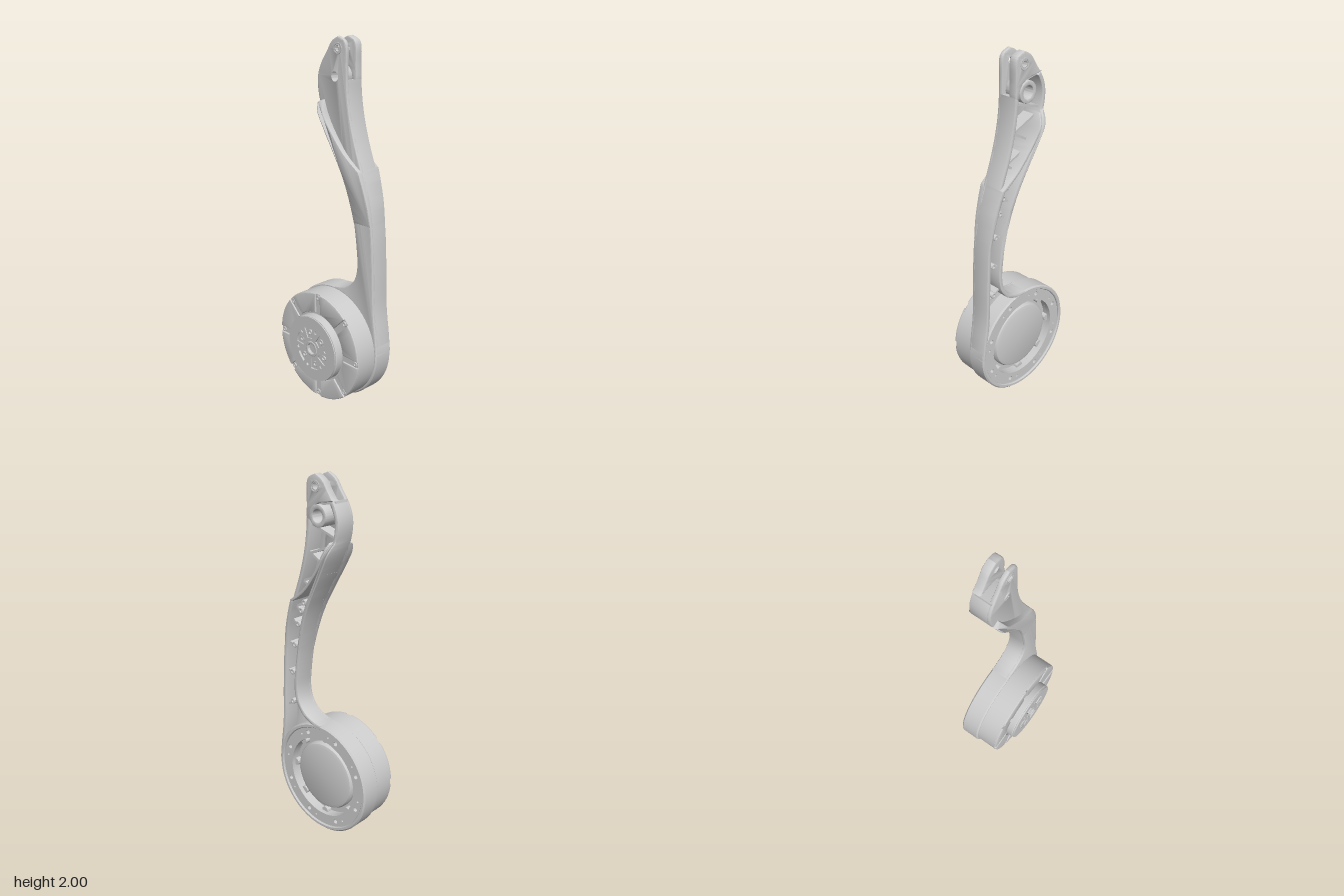
import * as THREE from 'three';
import { toCreasedNormals } from 'three/addons/utils/BufferGeometryUtils.js';

const V = (x, y) => new THREE.Vector2(x, y);
const HUB = 0.33; // height of the motor axis
const polar = (r, deg) => V(r * Math.cos(deg * Math.PI / 180), r * Math.sin(deg * Math.PI / 180));

export function createModel() {
  const model = new THREE.Group();
  const material = new THREE.MeshStandardMaterial({ color: 0xcccccc });

  const add = (name, geometry, y = 0) => {
    const mesh = new THREE.Mesh(toCreasedNormals(geometry, 0.55), material);
    mesh.name = name;
    mesh.position.y = y;
    model.add(mesh);
    return mesh;
  };
  // Extrusion from z0 to z1 with rounded edges; warp(y, z) may shift z
  const extrude = (shape, z0, z1, b = 0, warp = null) => {
    const g = new THREE.ExtrudeGeometry(shape, {
      depth: z1 - z0 - 2 * b, bevelEnabled: b > 0, bevelThickness: b, bevelSize: b,
      bevelOffset: -b, bevelSegments: 2, curveSegments: 32,
    });
    g.translate(0, 0, z0 + b);
    if (warp) {
      const p = g.attributes.position;
      for (let i = 0; i < p.count; i++) p.setZ(i, p.getZ(i) + warp(p.getY(i), p.getZ(i)));
    }
    return g;
  };
  const hole = (shape, x, y, r) => {
    shape.holes.push(new THREE.Path().absarc(x, y, r, 0, Math.PI * 2, true));
    return shape;
  };
  const disc = (x, y, r) => new THREE.Shape().absarc(x, y, r, 0, Math.PI * 2, false);
  const ring = (x, y, r, inner) => hole(disc(x, y, r), x, y, inner);
  const spline = (pts, n) => new THREE.SplineCurve(pts.map(p => V(p[0], p[1]))).getPoints(n);
  // Wall of thickness t on one side (side = 1 right, -1 left) of a path
  const wall = (pts, t, side) => {
    const inner = pts.map((p, i) => {
      const d = pts[Math.min(i + 1, pts.length - 1)].clone().sub(pts[Math.max(i - 1, 0)]).normalize();
      return V(p.x + d.y * t * side, p.y - d.x * t * side);
    });
    return new THREE.Shape([...pts, ...inner.reverse()]);
  };
  const sector = (r0, r1, a, half0, half1, n = 10) => {
    const pts = [];
    for (let i = 0; i <= n; i++) pts.push(polar(r1, a - half1 + 2 * half1 * i / n));
    for (let i = n; i >= 0; i--) pts.push(polar(r0, a - half0 + 2 * half0 * i / n));
    return pts;
  };

  // Arm outline: both edges run from the hub to the tip
  const left = spline([[0, 0.655], [0.05, 0.663], [0.11, 0.69], [0.155, 0.745], [0.172, 0.82], [0.165, 0.92],
    [0.145, 1.05], [0.11, 1.19], [0.07, 1.3], [0.02, 1.4], [-0.04, 1.51], [-0.09, 1.61], [-0.122, 1.7],
    [-0.13, 1.78], [-0.11, 1.85], [-0.06, 1.925], [-0.025, 1.975], [0.02, 2]], 110);
  const right = spline([[0.325, 0.34], [0.312, 0.45], [0.292, 0.6], [0.284, 0.8], [0.272, 1], [0.25, 1.15],
    [0.22, 1.26], [0.19, 1.345], [0.14, 1.48], [0.106, 1.6], [0.086, 1.72], [0.08, 1.85], [0.08, 1.94],
    [0.065, 1.98], [0.02, 2]], 100);
  const between = (pts, a, b) => pts.filter(p => p.y >= a && p.y <= b);
  const xAt = (pts, y) => {
    const i = Math.max(1, pts.findIndex(p => p.y >= y));
    const k = (y - pts[i - 1].y) / (pts[i].y - pts[i - 1].y);
    return pts[i - 1].x + k * (pts[i].x - pts[i - 1].x);
  };

  // Front plate of the arm with pin and pivot holes
  const plate = new THREE.Shape([...left, ...right.slice(0, -1).reverse(), V(0.26, 0.36), V(0.02, 0.58)]);
  hole(plate, 0.02, 1.94, 0.024);
  hole(plate, 0, 1.8, 0.033);
  add('armPlate', extrude(plate, -0.035, -0.01, 0.008));

  // Swelling of the arm below the diagonal step
  const lift = y => y < 1.05 ? 0 : y < 1.6 ? 0.04 * (y - 1.05) / 0.55 : 0.04 * Math.max(0, 1 - ((y - 1.6) / 0.085) ** 2);
  const diagonal = spline([[-0.075, 1.68], [-0.035, 1.585], [0.03, 1.49], [0.1, 1.41], [0.19, 1.342]], 24);
  const swell = new THREE.Shape([...between(left, 1.05, 1.67), ...diagonal, ...between(right, 1.05, 1.338).reverse()]);
  add('armSwelling', extrude(swell, -0.035, -0.01, 0.007, (y, z) => z > -0.022 ? lift(y) : 0));

  // Side walls, open towards the back
  const backLift = (y, z) => z < -0.1 ? -lift(y) : 0;
  add('leftEdgeWall', extrude(wall(between(left, 0, 1.88), 0.024, 1), -0.125, -0.014, 0.007, backLift));
  add('rightEdgeWallLower', extrude(wall(between(right, 0, 1.345), 0.024, -1), -0.125, -0.014, 0.007, backLift));
  add('rightEdgeWallUpper', extrude(wall(between(right, 1.3, 1.79), 0.024, -1), -0.125, -0.014, 0.007));
  add('diagonalWall', extrude(wall(diagonal, 0.016, 1), -0.125, -0.03, 0.005, backLift));

  // Stiffening ribs in the pocket, given as heights at the left and right wall
  const ribs = [[0.76, 0.7], [0.9, 0.92], [1.06, 1.09], [1.17, 1.23], [1.25, 1.31],
    [1.36, 1.3], [1.4, 1.46], [1.52, 1.45], [1.54, 1.62], [1.68, 1.6], [1.7, 1.76]];
  for (const [yl, yr] of ribs) {
    const a = V(xAt(left, yl) + 0.01, yl), b = V(xAt(right, yr) - 0.01, yr);
    add('pocketRib', extrude(wall([a, b], 0.012, 1), -0.105, -0.03));
    const m = a.clone().lerp(b, 0.5);
    if (yl < 1.4) add('ribBoss', extrude(ring(m.x, m.y, 0.016, 0.007), -0.112, -0.03, 0.002));
  }

  // Fork at the tip: slot floor, rear cheek, pivot boss and pin bushings
  const floor = [V(0.078, 1.77), V(0.06, 1.77), V(0.03, 1.845), V(0, 1.862), V(-0.1, 1.88)];
  add('slotFloor', extrude(wall(floor, 0.012, -1), -0.11, -0.02));
  const cheek = new THREE.Shape([...between(left, 1.88, 2), ...between(right, 1.77, 1.999).reverse(), ...floor]);
  add('rearCheek', extrude(hole(cheek, 0.02, 1.94, 0.024), -0.125, -0.08, 0.007));
  add('pivotBoss', extrude(ring(0, 1.8, 0.056, 0.033), -0.131, -0.02, 0.004));
  add('frontBushing', extrude(ring(0.02, 1.94, 0.03, 0.021), -0.034, -0.008, 0.002));
  add('rearBushing', extrude(ring(0.02, 1.94, 0.03, 0.021), -0.127, -0.081, 0.002));

  // Turned motor body with rear dome, housing rim and front step
  const profile = [[0, -0.1], [0.175, -0.1], [0.192, -0.094], [0.2, -0.08], [0.2, -0.06], [0.235, -0.06],
    [0.235, -0.085], [0.3, -0.085], [0.3, -0.12], [0.304, -0.125], [0.317, -0.125], [0.325, -0.117],
    [0.325, -0.018], [0.318, -0.01], [0.313, -0.01], [0.313, 0.108], [0.31, 0.111], [0.19, 0.111],
    [0.19, 0.15], [0.186, 0.155], [0.178, 0.155], [0.178, 0.15], [0, 0.15]];
  const body = new THREE.LatheGeometry(profile.map(p => V(p[0], p[1])), 72);
  body.rotateX(Math.PI / 2);
  add('motorBody', body, HUB);

  // Rear flange with screw holes
  const flange = ring(0, 0, 0.301, 0.235);
  for (let i = 0; i < 8; i++) {
    const p = polar(0.27, 22.5 + 45 * i);
    hole(flange, p.x, p.y, 0.013);
    const q = polar(0.27, 10 + 45 * i);
    hole(flange, q.x, q.y, 0.006);
  }
  add('rearFlange', extrude(flange, -0.114, -0.084), HUB);
  for (let i = 0; i < 8; i++) {
    const p = polar(0.232, 45 * i);
    add('rearLug', extrude(disc(p.x, p.y, 0.022), -0.09, -0.058), HUB);
  }

  // Front cover panels separated by radial channels, each with a screw
  for (let i = 0; i < 8; i++) {
    const panel = new THREE.Shape(sector(0.2, 0.312, 22.5 + 45 * i, 17.5, 19.3));
    add('coverPanel', extrude(panel, 0.1, 0.12, 0.006), HUB);
    const p = polar(0.29, 45 * i);
    add('coverScrew', extrude(ring(p.x, p.y, 0.015, 0.007), 0.105, 0.117, 0.002), HUB);
  }

  // Output face with six pockets around the centre bore
  const face = ring(0, 0, 0.187, 0.03);
  for (let i = 0; i < 6; i++) {
    const a = 42 + 60 * i;
    face.holes.push(new THREE.Path(sector(0.062, 0.122, a, 17, 15, 4).reverse()));
    const h = polar(0.112, a + 30);
    hole(face, h.x, h.y, 0.01);
    const s = polar(0.092, a);
    add('pocketScrew', extrude(ring(s.x, s.y, 0.016, 0.009), 0.145, 0.158, 0.002), HUB);
  }
  add('outputFace', extrude(face, 0.159, 0.165), HUB);
  add('outputCore', extrude(ring(0, 0, 0.178, 0.126), 0.149, 0.16), HUB);
  add('centreRing', extrude(ring(0, 0, 0.045, 0.03), 0.149, 0.168, 0.003), HUB);

  return model;
}
